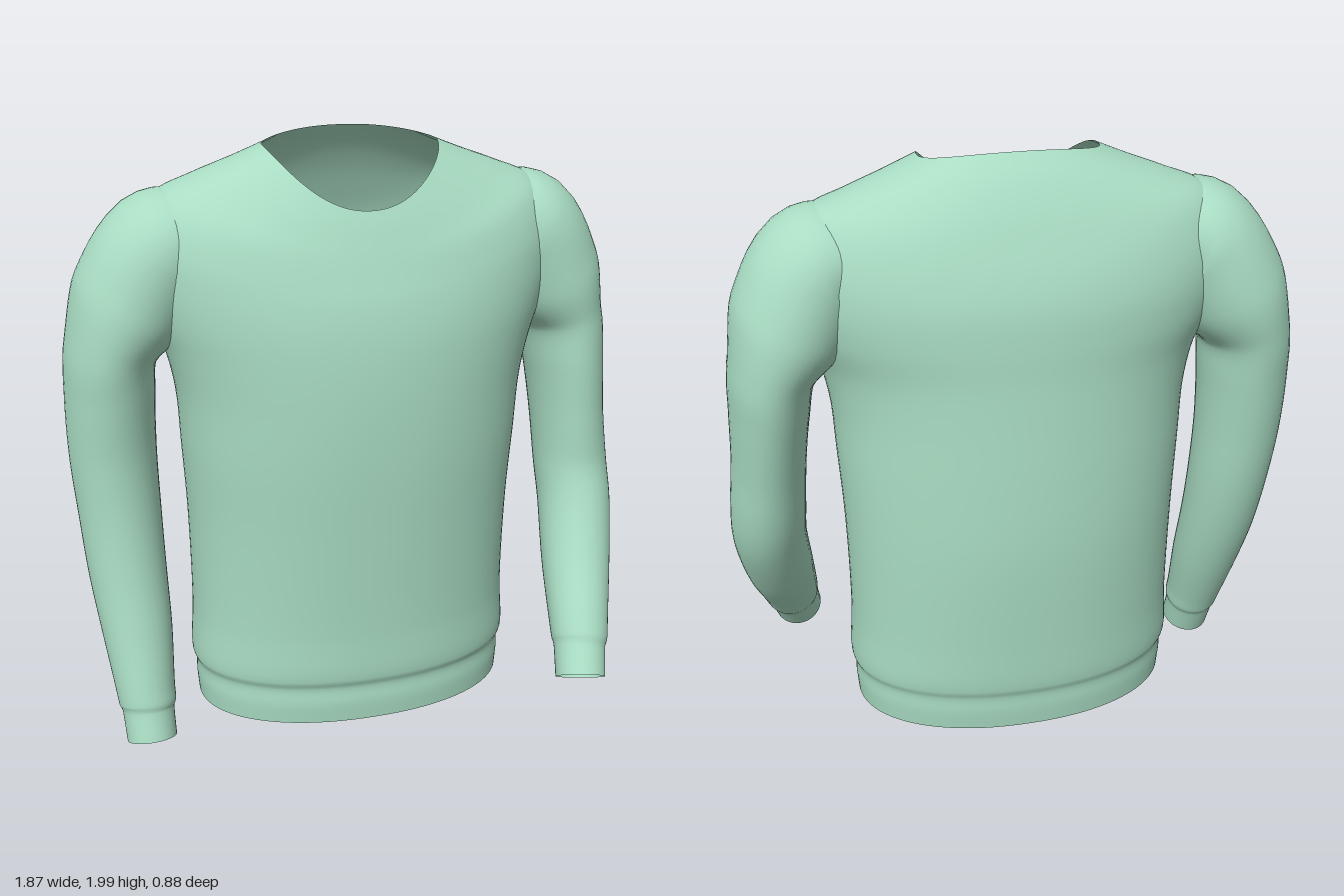
import * as THREE from 'three';

const knit = new THREE.MeshStandardMaterial({ color: 0xa9dcc3, side: THREE.DoubleSide });
knit.name = 'mint knit';

// Smooth open tube from rows of points, each row a closed loop.
function loft(name, rows, flip) {
  const n = rows[0].length, index = [];
  for (let j = 0; j < rows.length - 1; j++) {
    for (let i = 0; i < n; i++) {
      const a = j * n + i, b = j * n + (i + 1) % n, c = a + n, d = b + n;
      if (flip) index.push(a, c, b, b, c, d);
      else index.push(a, b, c, b, d, c);
    }
  }
  const g = new THREE.BufferGeometry().setFromPoints(rows.flat());
  g.setIndex(index);
  g.computeVertexNormals();
  const mesh = new THREE.Mesh(g, knit);
  mesh.name = name;
  return mesh;
}

// Body rings: half width, side y, side z, front y, front z, back y, back z
const level = (y, w, zf, zb) => [w, y, (zf + zb) / 2, y, zf, y, zb];
const bodyRings = [
  level(0.06, 0.545, 0.268, -0.395),
  level(0.13, 0.55, 0.273, -0.402),
  level(0.19, 0.55, 0.271, -0.404), // hem band seam
  level(0.225, 0.562, 0.283, -0.415),
  level(0.4, 0.554, 0.288, -0.426),
  level(0.75, 0.557, 0.308, -0.44),
  level(1.0, 0.57, 0.322, -0.432),
  level(1.2, 0.582, 0.325, -0.42),
  level(1.34, 0.612, 0.32, -0.412),
  [0.66, 1.46, -0.07, 1.44, 0.31, 1.46, -0.408],
  [0.69, 1.58, -0.08, 1.53, 0.292, 1.57, -0.398],
  [0.69, 1.71, -0.08, 1.6, 0.271, 1.67, -0.372],
  [0.63, 1.825, -0.08, 1.66, 0.252, 1.76, -0.337],
  [0.5, 1.885, -0.08, 1.71, 0.235, 1.85, -0.296],
  [0.38, 1.93, -0.065, 1.76, 0.217, 1.935, -0.245],
  [0.28, 1.97, -0.05, 1.8, 0.2, 2.0, -0.19], // neckline
];

function makeBody() {
  const sides = 96, steps = (bodyRings.length - 1) * 5;
  const rows = Array.from({ length: steps + 1 }, () => []);
  for (let i = 0; i < sides; i++) {
    const a = (i / sides) * Math.PI * 2, c = Math.cos(a), s = Math.sin(a);
    const bulge = (v) => Math.sign(v) * Math.abs(v) ** 0.93;
    const line = new THREE.CatmullRomCurve3(bodyRings.map(([w, ys, zs, yf, zf, yb, zb]) => {
      const y = s > 0 ? yf : yb, z = s > 0 ? zf : zb;
      return new THREE.Vector3(w * bulge(c), ys + (y - ys) * s * s, zs + (z - zs) * Math.abs(bulge(s)));
    }));
    for (let j = 0; j <= steps; j++) rows[j].push(line.getPoint(j / steps));
  }
  return loft('body', rows, true);
}

// Sleeve stations: centre x, y, z, radius across, radius front to back
const shoulder = [[0.48, 1.7, -0.08, 0.14, 0.17], [0.6, 1.66, -0.08, 0.19, 0.212]];
const bentSleeve = [
  ...shoulder,
  [0.69, 1.5, -0.088, 0.19, 0.225],
  [0.757, 1.35, -0.088, 0.137, 0.212],
  [0.775, 1.2, -0.07, 0.127, 0.2],
  [0.79, 1.0, -0.045, 0.12, 0.175],
  [0.803, 0.82, -0.018, 0.123, 0.156],
  [0.805, 0.69, 0.03, 0.123, 0.146],
  [0.78, 0.5, 0.132, 0.117, 0.128],
  [0.75, 0.34, 0.245, 0.103, 0.107],
  [0.738, 0.27, 0.293, 0.096, 0.098],
  [0.732, 0.245, 0.31, 0.088, 0.09], // cuff seam
  [0.715, 0.16, 0.367, 0.085, 0.086],
];
const straightSleeve = [
  ...shoulder,
  [0.705, 1.5, -0.09, 0.193, 0.225],
  [0.777, 1.35, -0.09, 0.148, 0.21],
  [0.79, 1.2, -0.09, 0.145, 0.19],
  [0.793, 1.0, -0.085, 0.142, 0.165],
  [0.785, 0.8, -0.067, 0.136, 0.15],
  [0.776, 0.6, -0.03, 0.129, 0.136],
  [0.762, 0.4, 0.025, 0.117, 0.12],
  [0.753, 0.2, 0.09, 0.098, 0.102],
  [0.75, 0.155, 0.104, 0.095, 0.098],
  [0.75, 0.13, 0.112, 0.086, 0.09], // cuff seam
  [0.747, 0.036, 0.145, 0.083, 0.087],
];

function makeSleeve(name, stations, side) {
  const path = new THREE.CatmullRomCurve3(stations.map(([x, y, z]) => new THREE.Vector3(x, y, z)));
  const radii = new THREE.CatmullRomCurve3(stations.map((p) => new THREE.Vector3(p[3], p[4], 0)));
  const sides = 48, steps = (stations.length - 1) * 6, rows = [];
  for (let j = 0; j <= steps; j++) {
    const t = j / steps, centre = path.getPoint(t), r = radii.getPoint(t), dir = path.getTangent(t);
    const front = new THREE.Vector3(0, 0, 1).addScaledVector(dir, -dir.z).normalize();
    const out = new THREE.Vector3().crossVectors(front, dir);
    rows.push(Array.from({ length: sides }, (_, i) => {
      const a = (i / sides) * Math.PI * 2;
      const p = centre.clone().addScaledVector(out, r.x * Math.cos(a)).addScaledVector(front, r.y * Math.sin(a));
      p.x *= side;
      return p;
    }));
  }
  return loft(name, rows, side < 0);
}

export function createModel() {
  const sweater = new THREE.Group();
  sweater.name = 'sweater';
  sweater.add(
    makeBody(),
    makeSleeve('leftSleeve', bentSleeve, 1),
    makeSleeve('rightSleeve', straightSleeve, -1),
  );
  return sweater;
}
